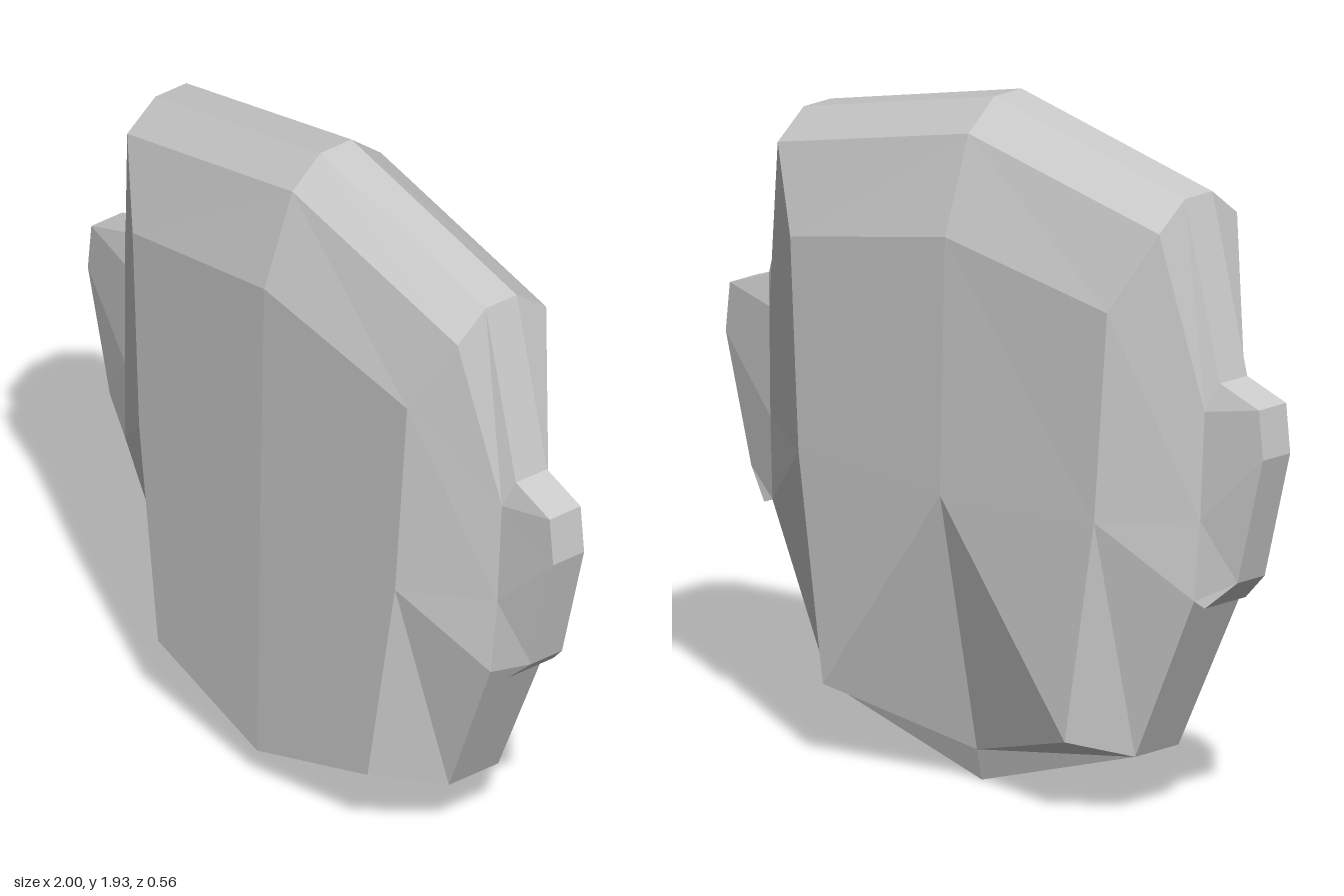
import * as THREE from 'three';

// Named corners of the +x half: [x, y, front z, back z]
const P = {
  // centre line, crown to chin
  c0: [0, 1.93, 0.055, -0.055], c1: [0, 1.845, 0.155, -0.16], c2: [0, 1.57, 0.255, -0.255],
  c3: [0, 0.84, 0.27, -0.275], c4: [0, 0.09, 0.28, -0.125], c5: [0, 0, 0.07, -0.105],
  // edge of the flat panel
  p2: [0.59, 1.46, 0.235, -0.24], p3: [0.55, 0.86, 0.245, -0.25], p4: [0.45, 0.22, 0.26, -0.26],
  // outer edge: crown corner, temple, cheek, jaw
  o0: [0.71, 1.77, 0.055, -0.055], o1: [0.71, 1.69, 0.155, -0.16], g: [0.81, 1.19, 0.08, -0.085],
  s: [0.8, 0.88, 0.088, -0.092], f: [0.785, 0.65, 0.1, -0.1], k: [0.57, 0.17, 0.07, -0.105],
  // ear rim
  a: [0.84, 1.27, 0.055, -0.055], b: [0.985, 1.22, 0.055, -0.055], c: [1, 1.08, 0.055, -0.055],
  d: [0.905, 0.715, 0.055, -0.055], e: [0.82, 0.635, 0.07, -0.095],
};

// Faces run counter-clockwise seen from the front; rims run clockwise round the outline
const headFaces = ['c0 c1 o1 o0', 'c1 c2 p2 o1', 'o1 p2 g', 'o0 o1 g a', 'c2 c3 p3 p2',
  'p2 p3 s g', 'p3 f s', 'p3 p4 k f', 'c3 c4 p4 p3', 'c4 c5 k p4'];
const headRims = ['c0 o0 a', 'f k c5'];
const earFaces = ['a g b', 'g s c b', 's d c', 's f d', 'f e d'];
const earRims = ['a b c d e f'];

const names = (text) => text.split(' ');

// Builds one side (sx = 1 or -1) of a part: front, back and the band between them
function shell(faces, rims, sides) {
  const pos = [];
  for (const sx of sides) {
    const at = (name, back) => {
      const [x, y, zf, zb] = P[name];
      return [x * sx, y, back ? zb : zf];
    };
    const polygon = (pts, flip) => {
      for (let i = 1; i < pts.length - 1; i++) {
        const tri = [pts[0], pts[i], pts[i + 1]];
        if (flip) tri.reverse();
        pos.push(...tri.flat());
      }
    };
    for (const face of faces) {
      for (const back of [false, true]) {
        polygon(names(face).map((n) => at(n, back)), (sx < 0) !== back);
      }
    }
    for (const rim of rims) {
      const r = names(rim);
      for (let i = 0; i < r.length - 1; i++) {
        polygon([at(r[i], false), at(r[i + 1], false), at(r[i + 1], true), at(r[i], true)], sx < 0);
      }
    }
  }
  const geo = new THREE.BufferGeometry();
  geo.setAttribute('position', new THREE.Float32BufferAttribute(pos, 3));
  geo.computeVertexNormals();
  return geo;
}

export function createModel() {
  const group = new THREE.Group();
  const material = new THREE.MeshStandardMaterial({ color: 0xcccccc, flatShading: true });
  const add = (name, geometry) => {
    const mesh = new THREE.Mesh(geometry, material);
    mesh.name = name;
    group.add(mesh);
  };

  add('head', shell(headFaces, headRims, [1, -1]));
  add('leftEar', shell(earFaces, earRims, [1]));
  add('rightEar', shell(earFaces, earRims, [-1]));
  return group;
}
